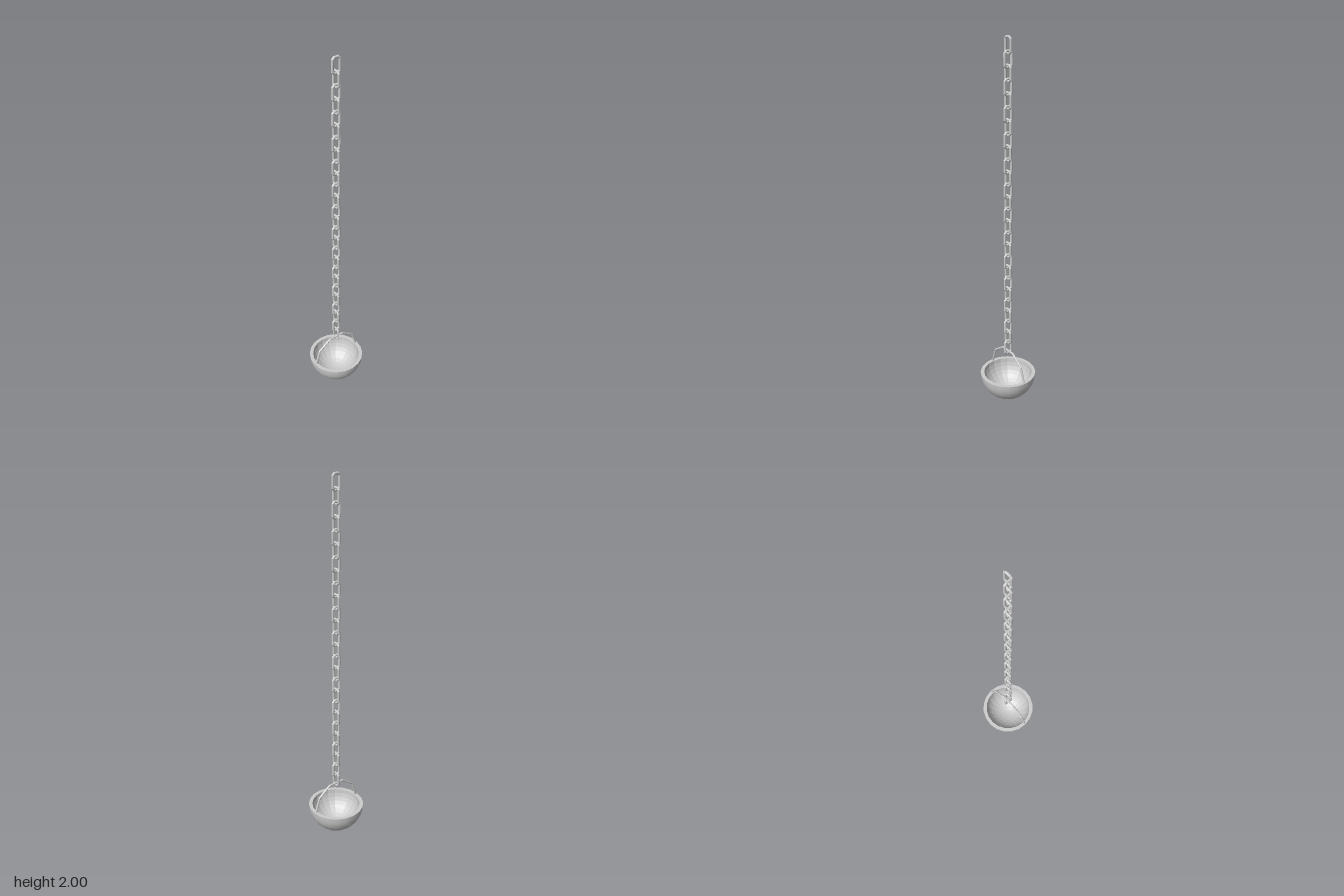
import * as THREE from 'three';

const smooth = new THREE.MeshStandardMaterial({ color: 0xcccccc });
const faceted = new THREE.MeshStandardMaterial({ color: 0xcccccc, flatShading: true });

const RIM_Y = 0.157;
const OUTER = 0.154;
const INNER = 0.134;
const SIDES = 20;

function addMesh(parent, name, geometry, material) {
  const mesh = new THREE.Mesh(geometry, material);
  mesh.name = name;
  parent.add(mesh);
  return mesh;
}

// Quarter-circle profile running from the bottom pole up to the rim
function bowlProfile(radius, steps) {
  const points = [];
  for (let i = 0; i <= steps; i++) {
    const a = (i / steps) * Math.PI / 2;
    points.push(new THREE.Vector2(radius * Math.sin(a), RIM_Y - radius * Math.cos(a)));
  }
  points[0].x = 0;
  points[steps].y = RIM_Y;
  return points;
}

// Chamfered link: an octagonal ring whose quadrants are pulled apart
function linkGeometry() {
  const geometry = new THREE.TorusGeometry(0.0175, 0.0065, 8, 8);
  geometry.rotateZ(Math.PI / 8);
  const pos = geometry.attributes.position;
  for (let i = 0; i < pos.count; i++) {
    pos.setX(i, pos.getX(i) + Math.sign(pos.getX(i)) * 0.004);
    pos.setY(i, pos.getY(i) + Math.sign(pos.getY(i)) * 0.0223);
  }
  geometry.computeVertexNormals();
  return geometry;
}

export function createModel() {
  const model = new THREE.Group();
  model.name = 'hangingBowl';

  // Bowl: smooth outside, flat rim and faceted inside
  const bowl = new THREE.Group();
  bowl.name = 'bowl';
  model.add(bowl);
  addMesh(bowl, 'bowlOutside', new THREE.LatheGeometry(bowlProfile(OUTER, 10), SIDES), smooth);
  const lining = [new THREE.Vector2(OUTER, RIM_Y), ...bowlProfile(INNER, 9).reverse()];
  addMesh(bowl, 'bowlRimAndInside', new THREE.LatheGeometry(lining, SIDES), faceted);

  // Handle: half ring of five straight pieces standing on the rim
  const handle = addMesh(model, 'handle', new THREE.TorusGeometry(0.144, 0.006, 8, 5, Math.PI), faceted);
  handle.position.y = RIM_Y;

  // Chain: links alternate by a quarter turn
  const chain = new THREE.Group();
  chain.name = 'chain';
  model.add(chain);
  const link = linkGeometry();
  const count = 26;
  const topY = 1.955, bottomY = 0.317;
  for (let i = 0; i < count; i++) {
    const mesh = addMesh(chain, 'chainLink', link, faceted);
    mesh.position.y = THREE.MathUtils.lerp(topY, bottomY, i / (count - 1));
    mesh.rotation.y = (i % 2) * Math.PI / 2;
  }

  // Rest the bowl exactly on the ground
  bowl.position.y = OUTER - RIM_Y;
  handle.position.y += OUTER - RIM_Y;
  return model;
}
